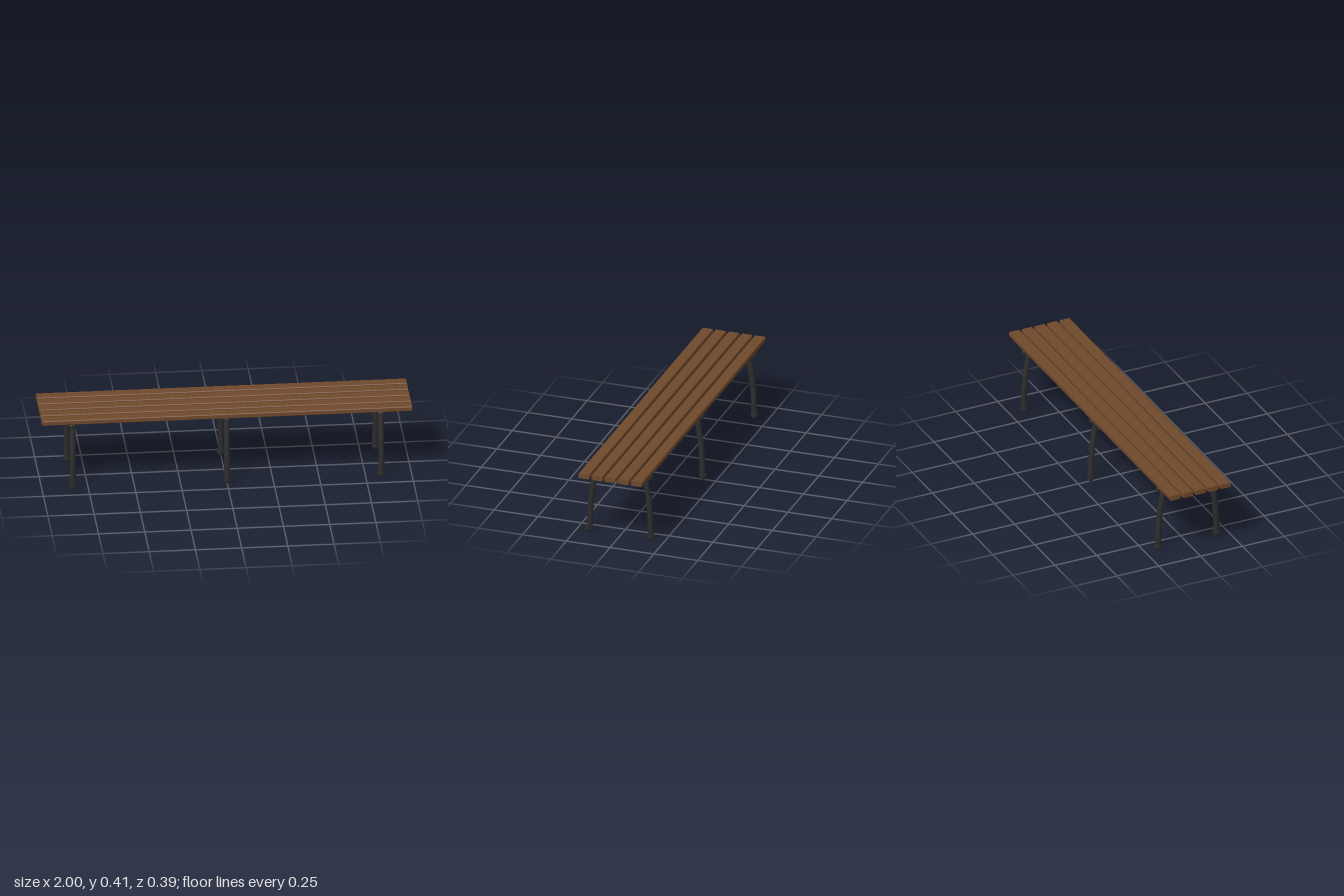
import * as THREE from 'three';

const wood = new THREE.MeshStandardMaterial({ color: 0x6f482b });
wood.name = 'brown wood';
const metal = new THREE.MeshStandardMaterial({ color: 0x2c2c2c });
metal.name = 'dark metal';

function addMesh(parent, name, geometry, material) {
  const mesh = new THREE.Mesh(geometry, material);
  mesh.name = name;
  parent.add(mesh);
  return mesh;
}

// Rectangle with rounded corners, centred on the origin
function roundedRect(w, h, r) {
  const x = w / 2 - r, y = h / 2 - r;
  const s = new THREE.Shape();
  s.absarc(x, y, r, 0, Math.PI / 2);
  s.absarc(-x, y, r, Math.PI / 2, Math.PI);
  s.absarc(-x, -y, r, Math.PI, Math.PI * 1.5);
  s.absarc(x, -y, r, Math.PI * 1.5, Math.PI * 2);
  s.closePath();
  return s;
}

export function createModel() {
  const bench = new THREE.Group();
  bench.name = 'bench';

  // Five seat slats running the full length
  const slatGeo = new THREE.ExtrudeGeometry(roundedRect(0.062, 0.028, 0.006),
    { depth: 2, bevelEnabled: false, curveSegments: 4 });
  slatGeo.translate(0, 0, -1).rotateY(Math.PI / 2);
  for (let i = -2; i <= 2; i++) {
    addMesh(bench, 'seatSlat', slatGeo, wood).position.set(0, 0.398, i * 0.075);
  }

  // Round-ended cross rail with softened edges
  const bevel = 0.004;
  const railGeo = new THREE.ExtrudeGeometry(
    roundedRect(0.042 - 2 * bevel, 0.368 - 2 * bevel, 0.0169), {
      depth: 0.023 - 2 * bevel, bevelThickness: bevel, bevelSize: bevel,
      bevelSegments: 3, curveSegments: 8,
    });
  railGeo.translate(0, 0, bevel).rotateX(-Math.PI / 2);

  // Bowed leg tube, collar and rounded foot
  const legPath = new THREE.CatmullRomCurve3([
    [0.366, 0.142], [0.29, 0.154], [0.2, 0.166], [0.11, 0.172], [0.02, 0.175],
  ].map(([y, z]) => new THREE.Vector3(0, y, z)));
  const legGeo = new THREE.TubeGeometry(legPath, 20, 0.016, 16);
  const collarGeo = new THREE.CylinderGeometry(0.0205, 0.0205, 0.012, 20);
  const footGeo = new THREE.LatheGeometry([
    [0, 0], [0.007, 0.001], [0.012, 0.005], [0.015, 0.012], [0.016, 0.02],
  ].map(([x, y]) => new THREE.Vector2(x, y)), 16);

  // Three supports, each with a front and a back leg
  for (const x of [-0.834, 0, 0.834]) {
    const support = new THREE.Group();
    support.name = 'support';
    support.position.x = x;
    bench.add(support);
    addMesh(support, 'crossRail', railGeo, metal).position.y = 0.361;
    for (const turn of [0, Math.PI]) {
      const leg = new THREE.Group();
      leg.name = turn ? 'backLeg' : 'frontLeg';
      leg.rotation.y = turn;
      support.add(leg);
      addMesh(leg, 'legTube', legGeo, metal);
      addMesh(leg, 'legCollar', collarGeo, metal).position.set(0, 0.0245, 0.175);
      addMesh(leg, 'foot', footGeo, metal).position.z = 0.175;
    }
  }
  return bench;
}
